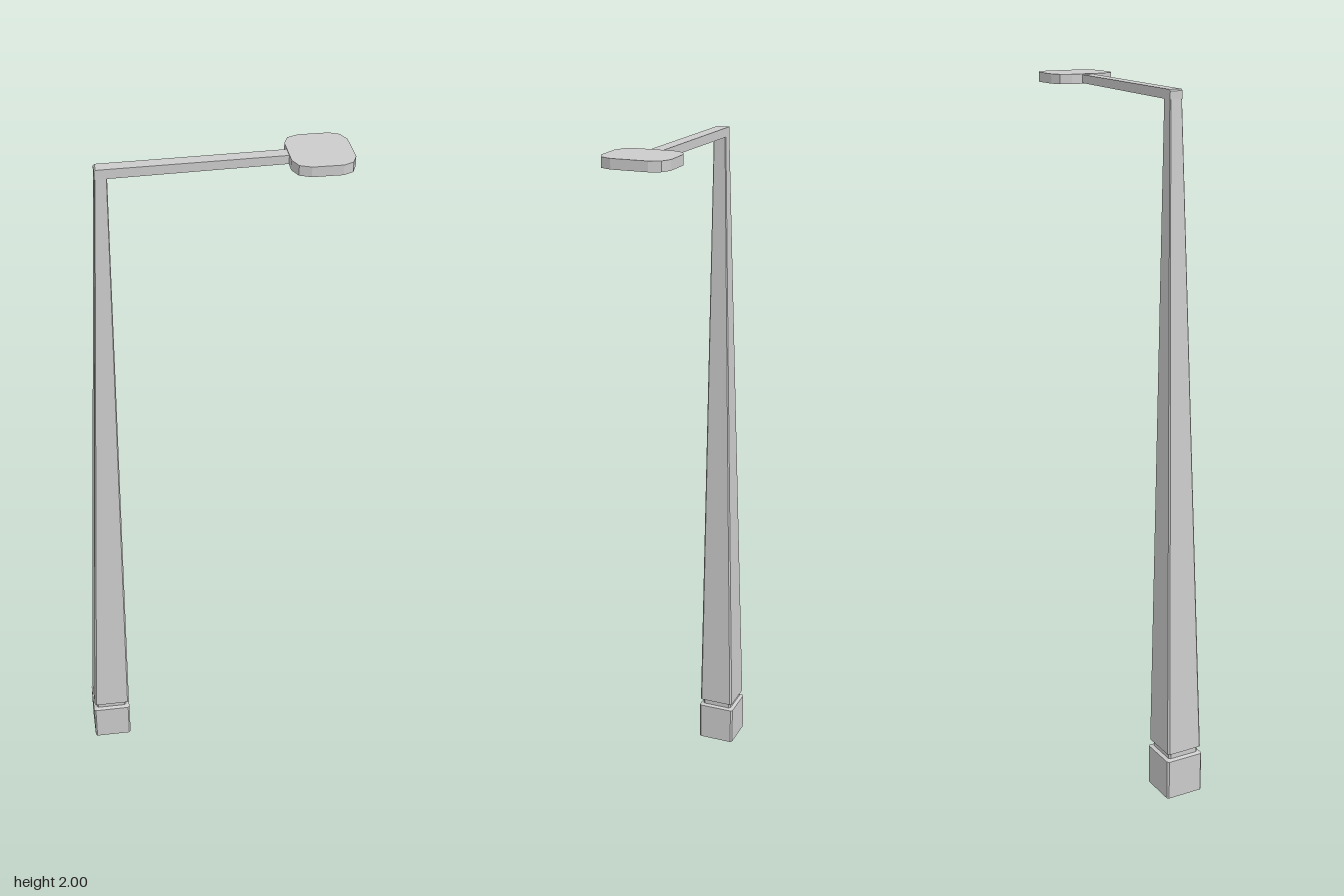
import * as THREE from 'three';

const material = new THREE.MeshStandardMaterial({ color: 0xcccccc, flatShading: true });

// Rectangle with chamfered corners, as [x, z] points running from +x towards +z
function chamferedRing(x0, x1, hz, c) {
  return [
    [x1, hz - c], [x1 - c, hz], [x0 + c, hz], [x0, hz - c],
    [x0, c - hz], [x0 + c, -hz], [x1 - c, -hz], [x1, c - hz],
  ];
}

// Skin through horizontal sections { y, x0, x1, hz, c }, closed at both ends
function loft(sections) {
  const n = 8, positions = [], indices = [];
  for (const { y, x0, x1, hz, c } of sections) {
    for (const [x, z] of chamferedRing(x0, x1, hz, c)) positions.push(x, y, z);
  }
  for (let s = 0; s < sections.length - 1; s++) {
    for (let i = 0; i < n; i++) {
      const a = s * n + i, b = s * n + (i + 1) % n;
      indices.push(a, a + n, b, b, a + n, b + n);
    }
  }
  const top = (sections.length - 1) * n;
  for (let i = 1; i < n - 1; i++) {
    indices.push(0, i, i + 1);
    indices.push(top, top + i + 1, top + i);
  }
  const geometry = new THREE.BufferGeometry();
  geometry.setAttribute('position', new THREE.Float32BufferAttribute(positions, 3));
  geometry.setIndex(indices);
  const flat = geometry.toNonIndexed();
  flat.computeVertexNormals();
  return flat;
}

function extrude(points, depth) {
  const shape = new THREE.Shape(points.map(([x, y]) => new THREE.Vector2(x, y)));
  return new THREE.ExtrudeGeometry(shape, { depth, bevelEnabled: false });
}

export function createModel() {
  const group = new THREE.Group();
  const add = (name, geometry) => {
    const mesh = new THREE.Mesh(geometry, material);
    mesh.name = name;
    group.add(mesh);
    return mesh;
  };

  // Square foot, narrow groove and leaning tapered post
  add('post', loft([
    { y: 0, x0: -0.371, x1: -0.257, hz: 0.057, c: 0.005 },
    { y: 0.118, x0: -0.371, x1: -0.257, hz: 0.057, c: 0.005 },
    { y: 0.122, x0: -0.361, x1: -0.267, hz: 0.047, c: 0.005 },
    { y: 0.136, x0: -0.361, x1: -0.267, hz: 0.047, c: 0.005 },
    { y: 0.14, x0: -0.368, x1: -0.258, hz: 0.054, c: 0.005 },
    { y: 1.967, x0: -0.281, x1: -0.249, hz: 0.018, c: 0.002 },
  ]));

  // Slightly rising arm
  const arm = add('arm', extrude([
    [-0.281, 1.966], [-0.249, 1.966], [0.215, 1.975], [0.215, 1.998], [-0.277, 1.991], [-0.281, 1.987],
  ], 0.036));
  arm.position.z = -0.018;

  // Flat lamp head with rounded-off corners
  const half = [[0.207, 0.05], [0.22, 0.081], [0.25, 0.094], [0.33, 0.094], [0.357, 0.081], [0.37, 0.05]];
  const outline = [...half, ...half.map(([x, z]) => [x, -z]).reverse()];
  const head = add('lampHead', extrude(outline, 0.027));
  head.rotation.x = -Math.PI / 2;
  head.position.y = 1.973;

  return group;
}
